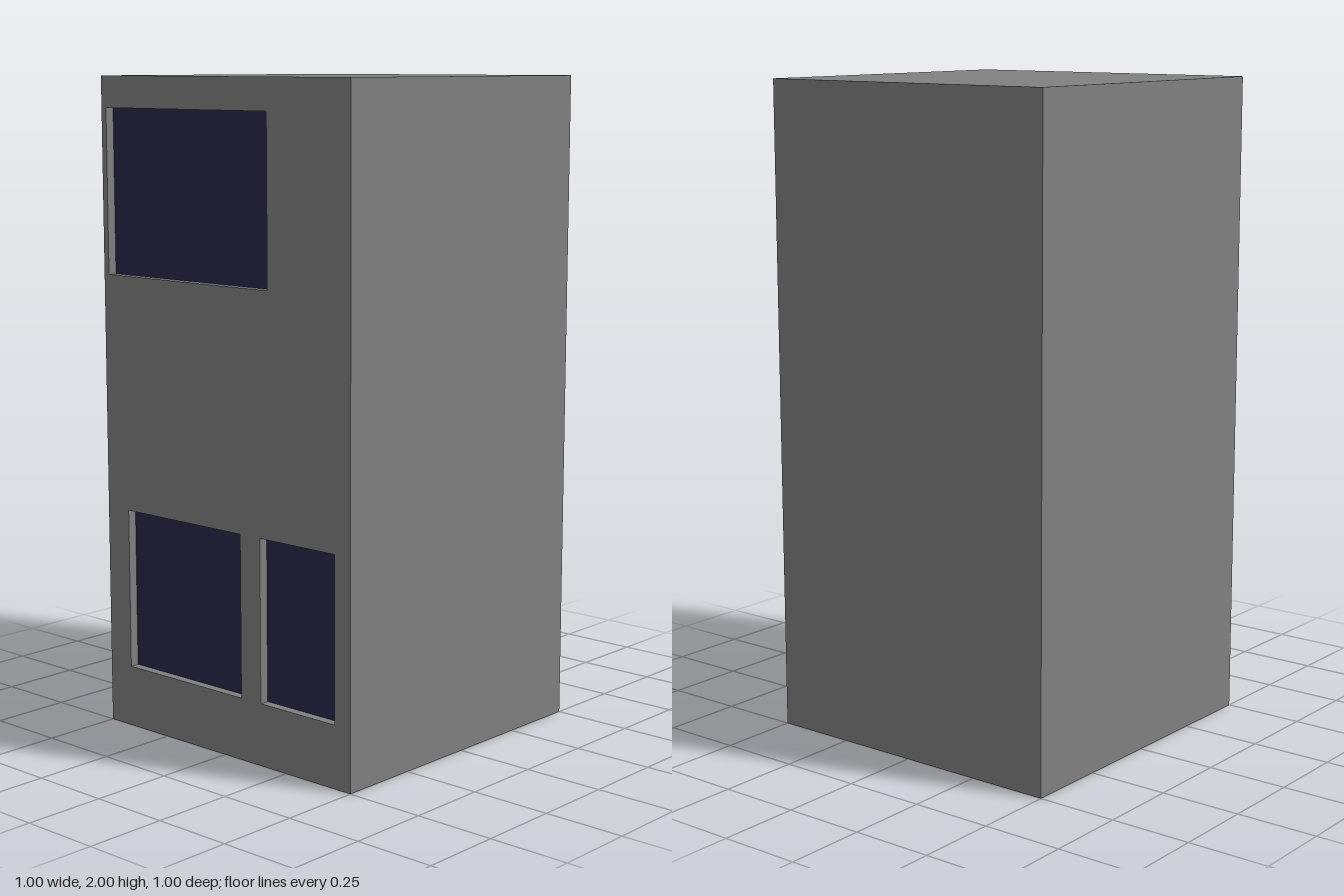
import * as THREE from 'three';

const RECESS = 0.03;

// Window openings in the side wall: z and y ranges
const OPENINGS = [
  { name: 'upperWindow', z0: -0.48, z1: 0.185, y0: 1.405, y1: 1.905 },
  { name: 'lowerWideWindow', z0: -0.41, z1: 0.07, y0: 0.19, y1: 0.685 },
  { name: 'lowerNarrowWindow', z0: 0.15, z1: 0.44, y0: 0.19, y1: 0.685 },
];

function rectangle(target, x0, y0, x1, y1) {
  target.moveTo(x0, y0);
  target.lineTo(x1, y0);
  target.lineTo(x1, y1);
  target.lineTo(x0, y1);
  target.closePath();
  return target;
}

export function createModel() {
  const group = new THREE.Group();
  group.name = 'tower';

  const concrete = new THREE.MeshStandardMaterial({ color: 0x808080 });
  concrete.name = 'concrete grey';
  const glass = new THREE.MeshStandardMaterial({ color: 0x2a274a });
  glass.name = 'dark glass';

  function add(name, geometry, material, x, y, z) {
    const mesh = new THREE.Mesh(geometry, material);
    mesh.name = name;
    mesh.position.set(x, y, z);
    group.add(mesh);
  }

  // Solid main block
  add('mainBlock', new THREE.BoxGeometry(1 - RECESS, 2, 1), concrete, RECESS / 2, 1, 0);

  // Side wall layer pierced by the window openings, extruded towards -x
  const wall = rectangle(new THREE.Shape(), -0.5, 0, 0.5, 2);
  for (const o of OPENINGS) {
    wall.holes.push(rectangle(new THREE.Path(), o.z0, o.y0, o.z1, o.y1));
  }
  const wallGeometry = new THREE.ExtrudeGeometry(wall, { depth: RECESS, bevelEnabled: false });
  wallGeometry.rotateY(-Math.PI / 2);
  add('windowWall', wallGeometry, concrete, -0.5 + RECESS, 0, 0);

  // Glass panes at the back of each recess
  for (const o of OPENINGS) {
    const pane = new THREE.BoxGeometry(0.004, o.y1 - o.y0, o.z1 - o.z0);
    add(o.name, pane, glass, -0.5 + RECESS, (o.y0 + o.y1) / 2, (o.z0 + o.z1) / 2);
  }

  return group;
}
